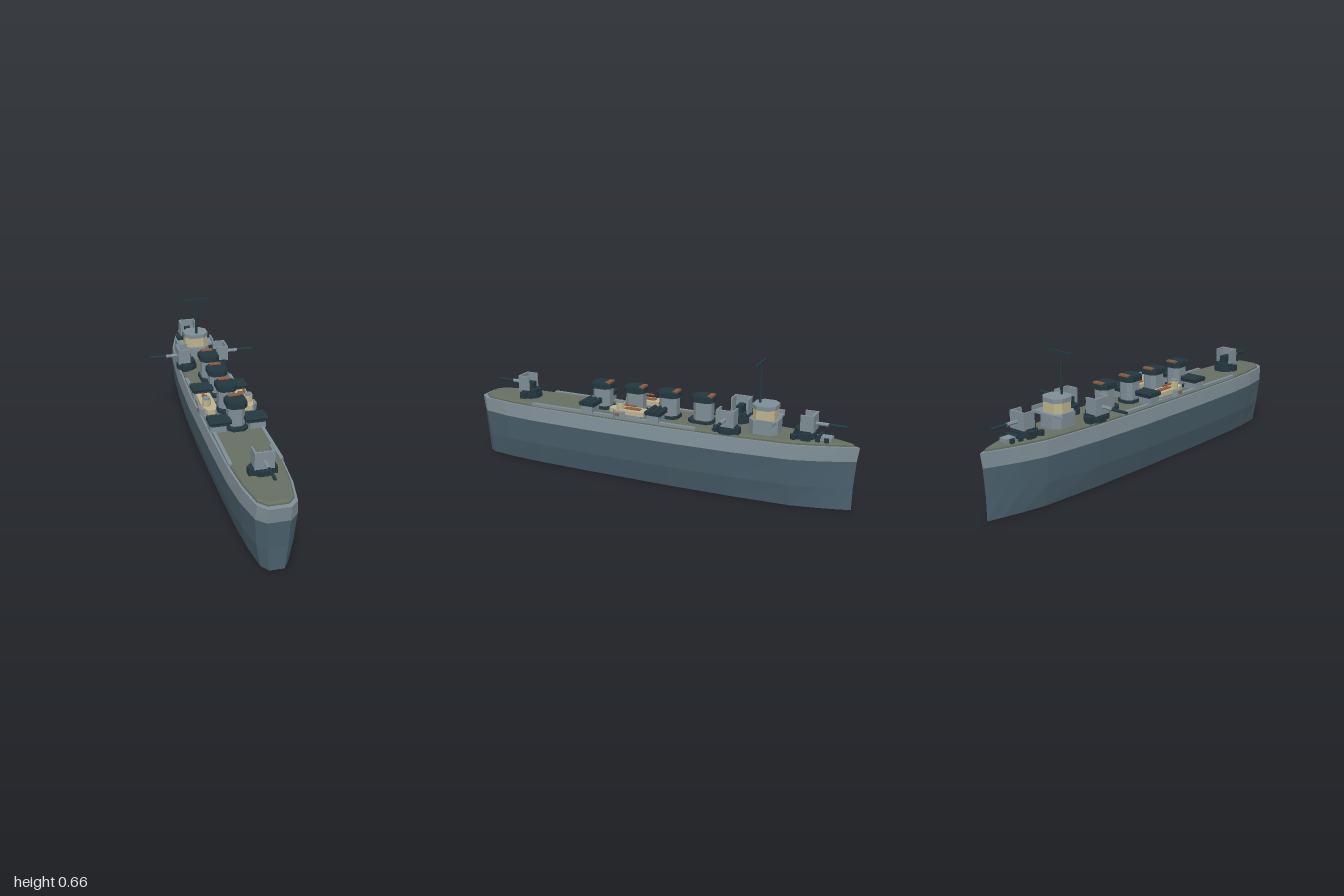
import * as THREE from 'three';

const mat = (name, color) => {
  const m = new THREE.MeshStandardMaterial({ color, flatShading: true });
  m.name = name;
  return m;
};

// Half outline of the hull from bow to stern: [x, z]
const HALF = [[0, -1], [0.03, -0.93], [0.064, -0.84], [0.1, -0.72], [0.126, -0.42], [0.137, -0.1],
  [0.137, 0.35], [0.131, 0.65], [0.117, 0.82], [0.09, 0.96], [0.05, 1]];
const RING = [...HALF, ...HALF.slice(1).reverse().map(([x, z]) => [-x, z])];

// Stack of scaled outlines, each level being [y, scaleX, scaleZ], closed at both ends
function loft(levels) {
  const pos = [];
  const n = RING.length;
  const pt = ([y, sx, sz], i) => [RING[i % n][0] * sx, y, RING[i % n][1] * sz];
  const first = levels[0], last = levels[levels.length - 1];
  for (let i = 0; i < n; i++) {
    for (let k = 0; k + 1 < levels.length; k++) {
      const a = pt(levels[k], i), b = pt(levels[k], i + 1);
      const c = pt(levels[k + 1], i), d = pt(levels[k + 1], i + 1);
      pos.push(...a, ...c, ...b, ...b, ...c, ...d);
    }
    pos.push(0, first[0], 0, ...pt(first, i), ...pt(first, i + 1));
    pos.push(0, last[0], 0, ...pt(last, i + 1), ...pt(last, i));
  }
  const g = new THREE.BufferGeometry();
  g.setAttribute('position', new THREE.Float32BufferAttribute(pos, 3));
  g.computeVertexNormals();
  return g;
}

// Upright block with cut corners, w along x and d along z, base at y = 0
function chamferBlock(w, h, d, c) {
  const x = w / 2, z = d / 2;
  const s = new THREE.Shape([[x - c, -z], [x, c - z], [x, z - c], [x - c, z], [c - x, z], [-x, z - c], [-x, c - z], [c - x, -z]]
    .map(p => new THREE.Vector2(...p)));
  return new THREE.ExtrudeGeometry(s, { depth: h, bevelEnabled: false }).rotateX(-Math.PI / 2);
}

export function createModel() {
  const root = new THREE.Group();
  root.name = 'warship';
  const grey = mat('light grey', 0x7f8f97), blue = mat('hull blue grey', 0x4a606d);
  const olive = mat('deck olive', 0x667061), dark = mat('dark steel', 0x24373f);
  const cream = mat('cream', 0xbfb48f), brown = mat('rust brown', 0x8f5b40);

  const add = (parent, name, geo, m, x = 0, y = 0, z = 0) => {
    const mesh = new THREE.Mesh(geo, m);
    mesh.name = name;
    mesh.position.set(x, y, z);
    parent.add(mesh);
    return mesh;
  };
  const group = (name, x = 0, y = 0, z = 0) => {
    const g = new THREE.Group();
    g.name = name;
    g.position.set(x, y, z);
    root.add(g);
    return g;
  };
  const box = (w, h, d) => new THREE.BoxGeometry(w, h, d);
  const rod = (r, len, axis, n = 8) => {
    const g = new THREE.CylinderGeometry(r, r, len, n);
    if (axis === 'x') g.rotateZ(Math.PI / 2);
    if (axis === 'z') g.rotateX(Math.PI / 2);
    return g;
  };
  const DECK = 0.325;

  // Hull and deck
  add(root, 'lowerHull', loft([[0, 0.665, 0.98], [0.11, 0.885, 0.981], [0.24, 1, 0.99]]), blue);
  add(root, 'upperHull', loft([[0.24, 1, 0.99], [0.31, 0.95, 1]]), grey);
  add(root, 'deck', loft([[0.309, 0.88, 0.975], [0.318, 0.88, 0.975], [DECK, 0.83, 0.965]]), olive);
  for (const s of [-1, 1]) {
    add(root, 'sideWalkway', box(0.016, 0.014, 0.9), grey, s * 0.114, 0.324, 0.2);
  }

  // Deck guns: each points along its own +z
  const gun = (name, x, z, turn) => {
    const g = group(name, x, DECK, z);
    g.rotation.y = turn;
    add(g, 'gunBase', chamferBlock(0.1, 0.025, 0.1, 0.028), dark);
    add(g, 'gunPedestal', chamferBlock(0.08, 0.045, 0.085, 0.02), dark);
    for (const s of [-1, 1]) {
      add(g, 'baseLocker', box(0.022, 0.032, 0.035), dark, s * 0.052, 0.016, 0.015);
      add(g, 'shieldSide', box(0.008, 0.075, 0.055), grey, s * 0.04, 0.078, 0.014);
    }
    add(g, 'shieldFront', box(0.088, 0.08, 0.01), grey, 0, 0.076, 0.044);
    add(g, 'breech', box(0.03, 0.035, 0.06), dark, 0, 0.063, 0.008);
    add(g, 'barrelSleeve', rod(0.009, 0.06, 'z'), grey, 0, 0.072, 0.078);
    add(g, 'barrel', rod(0.0075, 0.085, 'z'), dark, 0, 0.072, 0.15);
  };
  gun('aftGun', 0, 0.727, 0);
  gun('bowGun', 0, -0.745, Math.PI);
  gun('leftGun', 0.083, -0.4, Math.PI / 2);
  gun('rightGun', -0.083, -0.4, -Math.PI / 2);

  // Bridge
  const bridge = group('bridge', 0, DECK, -0.555);
  add(bridge, 'bridgeBase', chamferBlock(0.13, 0.065, 0.14, 0.03), grey);
  add(bridge, 'bridgeWings', box(0.2, 0.012, 0.075), grey, 0, 0.059, -0.025);
  for (const s of [-1, 1]) add(bridge, 'wingRail', box(0.008, 0.02, 0.075), grey, s * 0.096, 0.072, -0.025);
  add(bridge, 'wheelhouse', chamferBlock(0.12, 0.05, 0.105, 0.025), cream, 0, 0.065, 0);
  add(bridge, 'windowBand', chamferBlock(0.104, 0.008, 0.098, 0.025), dark, 0, 0.112, 0);
  add(bridge, 'bridgeRoof', chamferBlock(0.125, 0.02, 0.115, 0.03), grey, 0, 0.115, 0);

  // Mast with crossbar
  add(root, 'mast', rod(0.006, 0.195, 'y'), dark, 0, 0.555, -0.525);
  add(root, 'mastCrossbar', box(0.138, 0.012, 0.012), dark, 0, 0.65, -0.525);

  // Four funnels
  for (const z of [0.3, 0.115, -0.065, -0.245]) {
    const f = group('funnel', 0, DECK, z);
    add(f, 'funnelBase', chamferBlock(0.095, 0.015, 0.125, 0.022), dark, 0, 0, 0.008);
    add(f, 'funnelBody', chamferBlock(0.078, 0.112, 0.092, 0.02), grey);
    add(f, 'funnelCap', chamferBlock(0.096, 0.025, 0.112, 0.022), dark, 0, 0.106, 0);
    add(f, 'funnelRim', chamferBlock(0.082, 0.005, 0.095, 0.018), dark, 0, 0.13, 0);
    add(f, 'funnelVent', box(0.056, 0.009, 0.022), brown, 0, 0.135, -0.038);
  }

  // Torpedo tubes lying across the deck on both sides
  for (const z of [-0.032, 0.326]) {
    for (const s of [-1, 1]) {
      const t = group('torpedoMount', s * 0.085, DECK, z);
      add(t, 'mountBlock', box(0.075, 0.036, 0.06), grey, s * 0.008, 0.018, 0);
      add(t, 'mountPlate', box(0.09, 0.006, 0.08), dark, 0, 0.038, 0);
      for (const dz of [-0.028, 0, 0.028]) add(t, 'torpedoTube', rod(0.012, 0.104, 'x'), dark, 0, 0.05, dz);
    }
  }

  // Pointed boats with a small gun tub beside the funnels
  const plan = new THREE.Shape([[-0.034, 0.085], [0.034, 0.085], [0.034, -0.06], [0.018, -0.105], [-0.018, -0.105], [-0.034, -0.06]]
    .reverse().map(p => new THREE.Vector2(...p)));
  const boatGeo = new THREE.ExtrudeGeometry(plan, { depth: 0.022, bevelEnabled: false }).rotateX(-Math.PI / 2);
  for (const s of [-1, 1]) {
    const b = group('boat', s * 0.09, DECK, 0.105);
    add(b, 'boatCradle', box(0.05, 0.024, 0.13), grey, 0, 0.012, 0);
    add(b, 'boatHull', boatGeo, cream, 0, 0.02, 0);
    add(b, 'boatDeckPlank', box(0.026, 0.006, 0.08), brown, 0, 0.044, -0.015);
    add(b, 'sponson', chamferBlock(0.05, 0.035, 0.065, 0.016), grey, s * 0.025, 0, 0.045);
    add(b, 'sponsonPort', box(0.008, 0.014, 0.02), brown, s * 0.051, 0.022, 0.045);
    add(b, 'gunTub', rod(0.022, 0.036, 'y'), cream, s * 0.012, 0.056, 0.045);
    add(b, 'tubTop', rod(0.018, 0.012, 'y'), grey, s * 0.012, 0.076, 0.045);
    add(b, 'tubGun', rod(0.005, 0.07, 'z', 6), brown, s * 0.01, 0.064, -0.005);
  }

  // Foredeck fittings
  for (const s of [-1, 1]) {
    add(root, 'bollard', rod(0.015, 0.025, 'y'), dark, s * 0.052, 0.335, -0.705);
    for (const [x, z] of [[0.052, -0.775], [0.044, -0.815], [0.036, -0.855]]) {
      add(root, 'cleat', box(0.012, 0.02, 0.02), dark, s * x, 0.333, z);
    }
  }
  add(root, 'anchorWinch', box(0.045, 0.018, 0.06), grey, 0, 0.333, -0.845);
  add(root, 'winchDrum', rod(0.01, 0.06, 'x'), dark, 0, 0.34, -0.815);
  return root;
}
